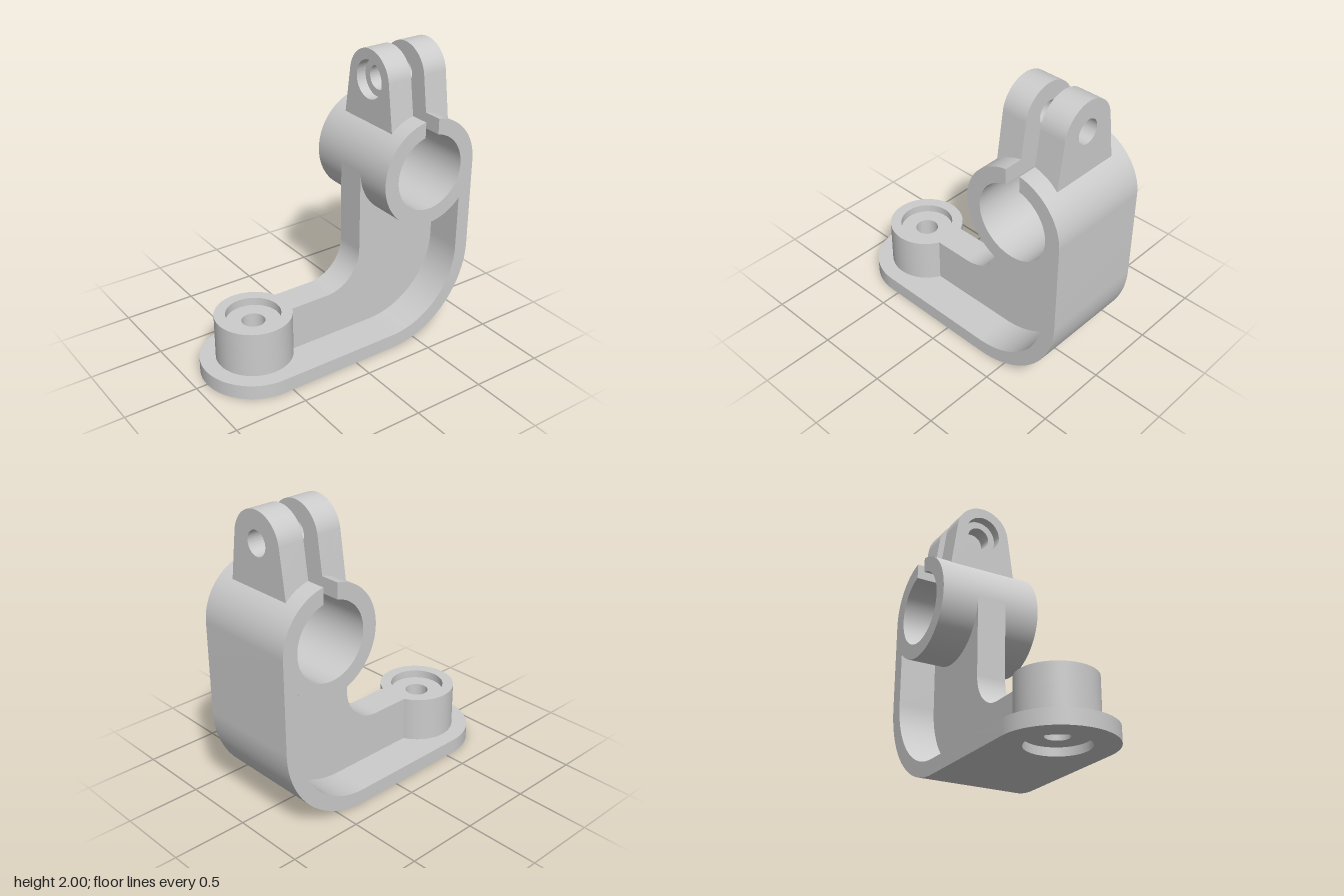
import * as THREE from 'three';
import { toCreasedNormals } from 'three/addons/utils/BufferGeometryUtils.js';

const PI = Math.PI;
const W = 0.72;            // full width of foot, strap and clamp
const T = 0.1;             // strap and foot thickness
const RING = { z: -0.5625, y: 1.235, outer: 0.36, bore: 0.256 };
const BEND = { z: -0.3, y: 0.62, r: 0.62 };
const BOSS_Z = 0.5625;
const SLOT = 0.0525;       // half width of the clamp slot

const material = new THREE.MeshStandardMaterial({ color: 0xcccccc });

function part(name, geometry) {
  const mesh = new THREE.Mesh(toCreasedNormals(geometry, 0.55), material);
  mesh.name = name;
  return mesh;
}

function extrude(shape, depth) {
  return new THREE.ExtrudeGeometry(shape, { depth, bevelEnabled: false, curveSegments: 40 });
}

// Extrudes a (z, y) side profile across x, centred on x = 0
function sideExtrude(shape, width) {
  return extrude(shape, width).rotateY(-PI / 2).translate(width / 2, 0, 0);
}

function circleHole(x, y, r) {
  return new THREE.Path().absarc(x, y, r, 0, PI * 2, true);
}

// Slotted clamp ring with the curved strap running down to the foot
function clampAndStrap() {
  const { z, y, outer, bore } = RING;
  const slotOuter = Math.acos(SLOT / outer);
  const slotBore = Math.acos(SLOT / bore);
  const inner = z - outer + T;
  const meet = Math.acos((inner - z) / outer);
  const s = new THREE.Shape();
  s.moveTo(BEND.z, 0);
  s.absarc(BEND.z, BEND.y, BEND.r, -PI / 2, -PI, true);
  s.absarc(z, y, outer, PI, PI - slotOuter, true);
  s.absarc(z, y, bore, PI - slotBore, 2 * PI + slotBore, false);
  s.absarc(z, y, outer, slotOuter, -meet, true);
  s.absarc(BEND.z, BEND.y, BEND.r - T, PI, 1.5 * PI, false);
  s.closePath();
  return sideExtrude(s, W);
}

// Central stiffening web between boss, strap and clamp ring
function web() {
  const front = RING.z + RING.outer;
  const fillet = 0.26;
  const s = new THREE.Shape();
  s.moveTo(0.36, T / 2);
  s.lineTo(0.36, 0.41);
  s.absarc(front + fillet, 0.41 + fillet, fillet, -PI / 2, -PI, true);
  s.lineTo(front, RING.y);
  s.absarc(RING.z, RING.y, 0.31, 0, -0.75 * PI, true);
  s.lineTo(-0.87, 1.0);
  s.absarc(BEND.z, BEND.y, BEND.r - T / 2, PI, 1.5 * PI, false);
  s.closePath();
  return sideExtrude(s, 0.208);
}

// Flat foot with a rounded front end and a recess opening below
function foot() {
  const s = new THREE.Shape();
  s.moveTo(-W / 2, BEND.z);
  s.lineTo(W / 2, BEND.z);
  s.absarc(0, BOSS_Z, W / 2, 0, PI, false);
  s.closePath();
  s.holes.push(circleHole(0, BOSS_Z, 0.2));
  return extrude(s, T).rotateX(PI / 2).translate(0, T, 0);
}

// Bolt boss with through hole and counterbore
function boss() {
  const profile = [
    [0.254, 0.09], [0.254, 0.41], [0.18, 0.41], [0.18, 0.355],
    [0.077, 0.355], [0.077, 0.055], [0.2, 0.055],
  ].map(([r, y]) => new THREE.Vector2(r, y));
  return new THREE.LatheGeometry(profile, 64).translate(0, 0, BOSS_Z);
}

// One slice of a tapered, round-topped lug between two z positions
function lugSlice(zBack, zFront, holeRadius) {
  const s = new THREE.Shape();
  s.moveTo(-0.245, 1.5);
  s.lineTo(0.245, 1.5);
  s.absarc(0, 1.8, 0.2, 0.13, PI - 0.13, false);
  s.closePath();
  s.holes.push(circleHole(0, 1.8, holeRadius));
  return extrude(s, zFront - zBack).translate(0, 0, zBack);
}

export function createModel() {
  const group = new THREE.Group();
  group.name = 'clampBracket';
  group.add(
    part('clampRingAndStrap', clampAndStrap()),
    part('web', web()),
    part('foot', foot()),
    part('boltBoss', boss()),
  );

  // Front lug is counterbored for the screw head
  const frontLug = new THREE.Group();
  frontLug.name = 'frontLug';
  frontLug.add(
    part('frontLugCounterbore', lugSlice(-0.405, -0.335, 0.128)),
    part('frontLugBody', lugSlice(RING.z + SLOT, -0.405, 0.08)),
  );
  group.add(frontLug, part('backLug', lugSlice(-0.793, RING.z - SLOT, 0.08)));
  return group;
}
